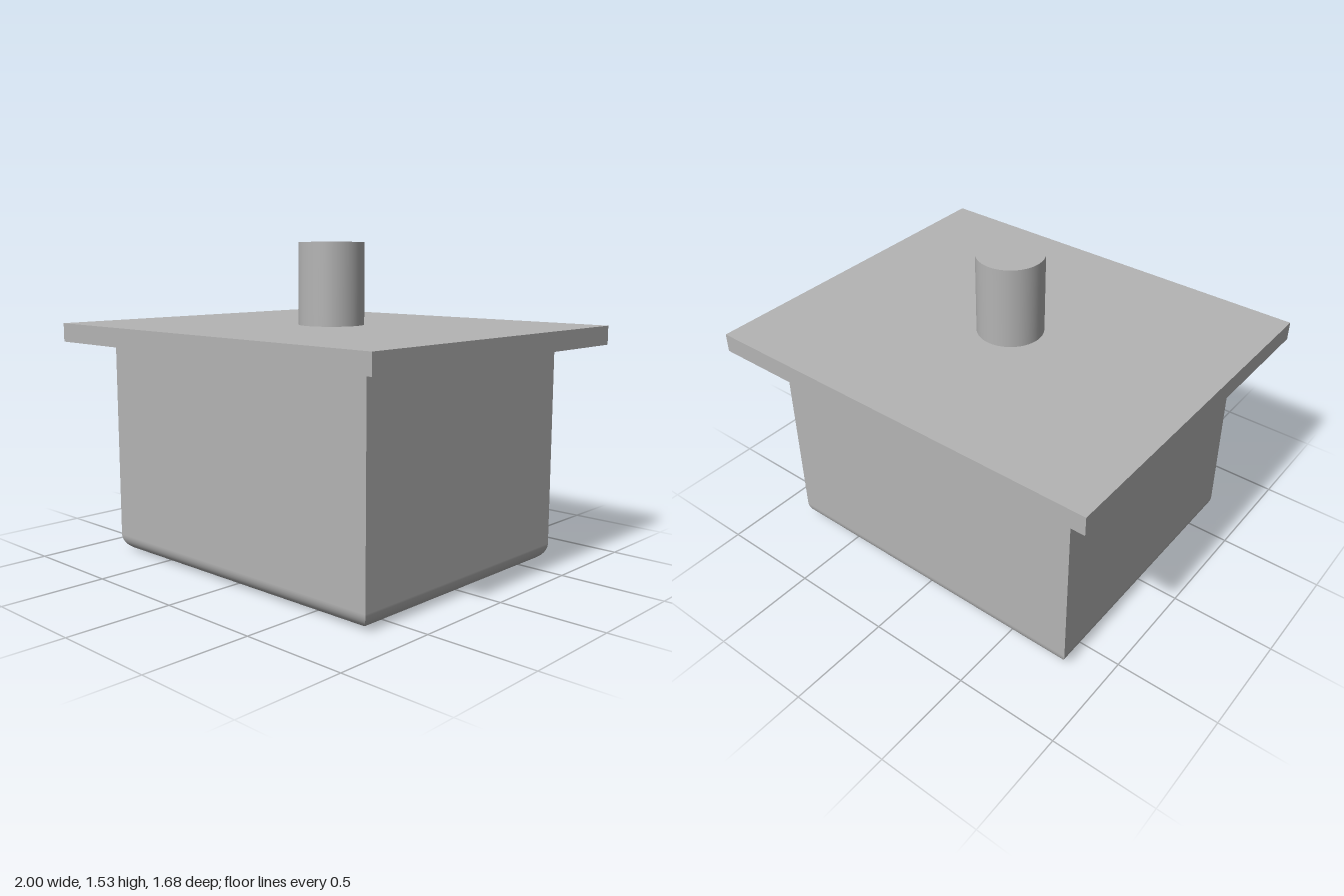
import * as THREE from 'three';

const W = 0.82, D = 0.667, H = 1.05, R = 0.08; // body half width, half depth, height, bottom rounding

// One upright wall facing (nx, nz), curving under into the base and mitred at its ends
function wallGeometry(nx, nz) {
  const reach = nx ? W : D, span = nx ? D : W, steps = 12;
  const pos = [], nor = [], idx = [];
  const addRow = (inset, y, out, up) => {
    for (const s of [-1, 1]) {
      const o = reach - inset, t = s * (span - inset);
      pos.push(nx * o + nz * t, y, nz * o - nx * t);
      nor.push(nx * out, up, nz * out);
    }
  };
  for (let i = 0; i <= steps; i++) {
    const a = (i / steps) * Math.PI / 2;
    addRow(R * (1 - Math.sin(a)), R * (1 - Math.cos(a)), Math.sin(a), -Math.cos(a));
  }
  addRow(0, H, 1, 0);
  for (let i = 0; i <= steps; i++) {
    const k = 2 * i;
    idx.push(k, k + 1, k + 3, k, k + 3, k + 2);
  }
  const g = new THREE.BufferGeometry();
  g.setAttribute('position', new THREE.Float32BufferAttribute(pos, 3));
  g.setAttribute('normal', new THREE.Float32BufferAttribute(nor, 3));
  g.setIndex(idx);
  return g;
}

export function createModel() {
  const model = new THREE.Group();
  const grey = new THREE.MeshStandardMaterial({ color: 0xb4b4b4 });
  grey.name = 'plain grey';
  const add = (parent, name, geometry, y = 0) => {
    const mesh = new THREE.Mesh(geometry, grey);
    mesh.name = name;
    mesh.position.y = y;
    parent.add(mesh);
  };

  // Box body with rounded lower edges and sharp upright corners
  const body = new THREE.Group();
  body.name = 'body';
  add(body, 'frontWall', wallGeometry(0, 1));
  add(body, 'backWall', wallGeometry(0, -1));
  add(body, 'leftWall', wallGeometry(1, 0));
  add(body, 'rightWall', wallGeometry(-1, 0));
  add(body, 'base', new THREE.PlaneGeometry(2 * (W - R), 2 * (D - R)).rotateX(Math.PI / 2));
  model.add(body);

  // Overhanging top plate
  add(model, 'topPlate', new THREE.BoxGeometry(2, 0.09, 1.684), H + 0.045);

  // Round post standing on the plate
  add(model, 'post', new THREE.CylinderGeometry(0.157, 0.157, 0.39, 64), 1.14 + 0.195);

  return model;
}
